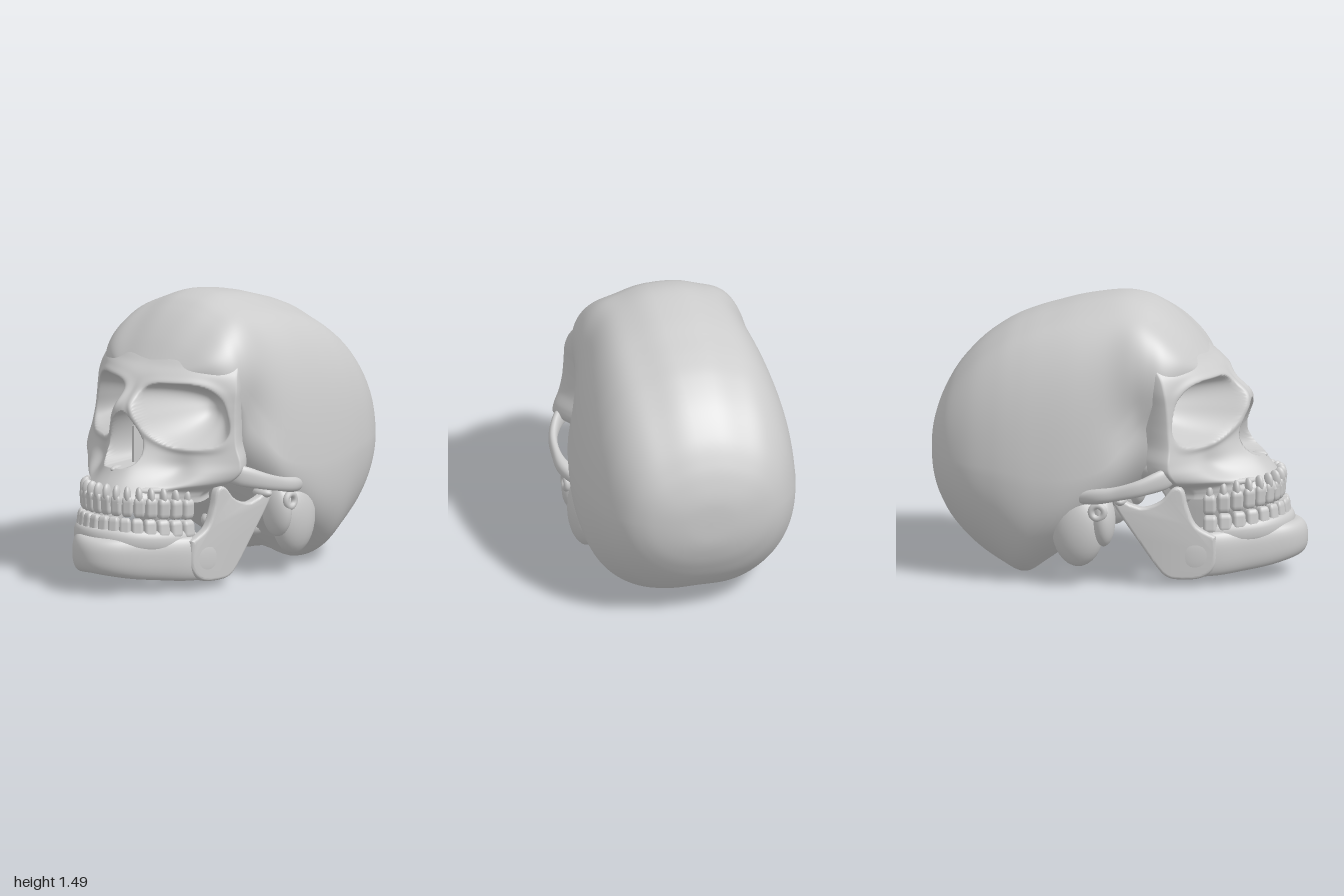
import * as THREE from 'three';
import { mergeVertices, toCreasedNormals } from 'three/addons/utils/BufferGeometryUtils.js';
import { RoundedBoxGeometry } from 'three/addons/geometries/RoundedBoxGeometry.js';

const bone = new THREE.MeshStandardMaterial({ color: 0xcccccc, side: THREE.DoubleSide });
const { smoothstep, clamp } = THREE.MathUtils;
const bump = (d, width) => Math.exp(-((d / width) ** 2));
const spow = (c, e) => Math.sign(c) * Math.abs(c) ** e;

// Smooth interpolation through rows of numbers, t from 0 to 1
function track(rows) {
  const n = rows.length - 1;
  return (t) => {
    const f = clamp(t, 0, 1) * n, i = Math.min(Math.floor(f), n - 1), k = f - i;
    const p = [-1, 0, 1, 2].map((o) => rows[clamp(i + o, 0, n)]);
    return rows[0].map((_, c) => {
      const [a, b, d, e] = p.map((r) => r[c]);
      return b + 0.5 * k * (d - a + k * (2 * a - 5 * b + 4 * d - e + k * (3 * (b - d) + e - a)));
    });
  };
}

// Surface from a rule (u, v) -> [x, y, z], welded and smooth
function surface(nu, nv, rule) {
  const pos = [], idx = [];
  for (let j = 0; j <= nv; j++) {
    for (let i = 0; i <= nu; i++) {
      pos.push(...rule(i / nu, j / nv));
      if (i === nu || j === nv) continue;
      const a = j * (nu + 1) + i, d = a + nu + 1;
      idx.push(a, a + 1, d + 1, a, d + 1, d);
    }
  }
  let geo = new THREE.BufferGeometry();
  geo.setAttribute('position', new THREE.Float32BufferAttribute(pos, 3));
  geo.setIndex(idx);
  geo = mergeVertices(geo, 1e-5);
  geo.computeVertexNormals();
  return geo;
}

// Flattened bar along rows of [x, y, z, halfThickness, halfHeight]
function sweep(rows, nu, nv, power = 0.9) {
  const at = track(rows), up = new THREE.Vector3(0, 1, 0);
  return surface(nu, nv, (u, v) => {
    const [x, y, z, ht, hh] = at(v);
    const T = new THREE.Vector3(...at(v + 0.005)).sub(new THREE.Vector3(...at(v - 0.005))).normalize();
    const N = up.clone().cross(T).normalize(), B = T.clone().cross(N);
    const cap = Math.sqrt(Math.max(0, 1 - Math.abs(2 * v - 1) ** 16)), a = (u % 1) * Math.PI * 2;
    return new THREE.Vector3(x, y, z)
      .addScaledVector(N, ht * cap * spow(Math.cos(a), power))
      .addScaledVector(B, hh * cap * spow(Math.sin(a), power)).toArray();
  });
}

// Braincase: cross-sections from back to front
function craniumGeometry() {
  // z, top, bottom, half width, height of widest point, squareness
  const at = track([
    [-1, 0.66, 0.66, 0, 0.66, 2.2], [-0.995, 0.77, 0.53, 0.14, 0.66, 2.3],
    [-0.97, 0.87, 0.43, 0.27, 0.66, 2.4], [-0.93, 0.97, 0.34, 0.365, 0.66, 2.5],
    [-0.86, 1.09, 0.23, 0.445, 0.65, 2.6], [-0.74, 1.22, 0.11, 0.515, 0.64, 2.7],
    [-0.6, 1.32, 0.02, 0.555, 0.63, 2.8], [-0.48, 1.375, -0.02, 0.573, 0.61, 2.9],
    [-0.36, 1.415, 0.06, 0.578, 0.59, 3], [-0.2, 1.46, 0.19, 0.572, 0.59, 3],
    [0, 1.49, 0.37, 0.54, 0.65, 3], [0.13, 1.473, 0.5, 0.515, 0.82, 3],
    [0.22, 1.43, 0.66, 0.49, 0.94, 2.9], [0.3, 1.37, 0.95, 0.45, 1.05, 2.7],
    [0.38, 1.29, 1.06, 0.372, 1.12, 2.5], [0.46, 1.19, 1.07, 0.255, 1.115, 2.4],
    [0.53, 1.1, 1.08, 0.1, 1.09, 2.2], [0.545, 1.085, 1.085, 0, 1.085, 2.2],
  ]);
  return surface(112, 120, (u, v) => {
    let [z, top, bottom, w, mid, n] = at(v);
    const a = (u % 1) * Math.PI * 2, up = Math.max(0, Math.sin(a)) ** (2 / n);
    const low = 2 / (Math.sin(a) < 0 ? 2.25 + 0.8 * bump(z + 0.25, 0.25) : n);
    let x = Math.max(0, w) * spow(Math.cos(a), low) * (1 - 0.16 * up * (top - mid));
    let y = Math.sin(a) >= 0 ? mid + (top - mid) * up : mid - (mid - bottom) * Math.abs(Math.sin(a)) ** low;
    // gently peaked crown, hollow temples, groove between the two lower lobes at the back
    y -= 0.025 * up ** 3 * bump(Math.abs(x) - 0.24, 0.11);
    x *= 1 - 0.13 * bump(z - 0.18, 0.14) * bump(y - 0.85, 0.22);
    y += 0.05 * bump(x, 0.13) * bump(z + 0.5, 0.2) * smoothstep(0.35 - y, 0, 0.25);
    // room for the backs of the eye sockets
    z -= 0.14 * bump(Math.abs(x) - 0.2, 0.15) * bump(y - 0.92, 0.13) * smoothstep(z, 0.1, 0.2);
    return [x, y, z];
  });
}

// Face: a curved shield with eye sockets and nasal opening sunk into it
function faceGeometry() {
  // y, centre z, half width, edge z, fall-off power, nose height
  const at = track([
    [0.485, 0.87, 0.332, 0.45, 2.9, 0], [0.51, 0.862, 0.335, 0.45, 2.8, 0],
    [0.535, 0.83, 0.37, 0.42, 2.4, 0.015], [0.565, 0.78, 0.47, 0.385, 1.9, 0.045],
    [0.62, 0.7, 0.525, 0.355, 1.6, 0.085], [0.68, 0.63, 0.525, 0.345, 1.5, 0.12],
    [0.76, 0.59, 0.497, 0.345, 1.55, 0.12], [0.85, 0.57, 0.482, 0.335, 1.6, 0.125],
    [0.92, 0.57, 0.477, 0.33, 1.6, 0.13], [0.98, 0.57, 0.475, 0.325, 1.6, 0.11],
    [1.05, 0.578, 0.473, 0.315, 1.75, 0.025], [1.12, 0.545, 0.458, 0.295, 2.2, 0],
    [1.17, 0.48, 0.437, 0.265, 2.6, 0], [1.22, 0.425, 0.405, 0.235, 2.8, 0],
    [1.3, 0.32, 0.34, 0.16, 2.5, 0],
  ]);
  return surface(180, 130, (u, v) => {
    const [y0, zc, w, ze, p, nose] = at(v), q = (2 * u - 1) * 1.2, m = Math.min(1, Math.abs(q));
    const y = y0 - 0.03 * m * m * smoothstep(0.57 - y0, 0, 0.1);
    const back = Math.max(0, Math.abs(q) - 1) / 0.2;
    const x = Math.sign(q) * w * (m - 0.13 * back ** 1.5), ax = Math.abs(x);
    let z = zc - (zc - ze) * m ** p - 0.13 * back;
    if (back > 0) return [x, y, z];
    // bridge of the nose, hollow of the cheek
    z += nose / (1 + (ax / (0.06 + 0.09 * smoothstep(1.08 - y, 0, 0.25))) ** 4);
    z -= 0.045 * bump(ax - 0.26, 0.07) * bump(y - 0.62, 0.07);
    // eye sockets with a raised rim, slanting down and outward
    const dx = Math.abs(ax - 0.268 + 0.34 * (y - 0.92)) / (0.182 + 0.1 * (y - 0.92));
    const r = Math.cbrt(dx ** 3 + (Math.abs(y - 0.92) / 0.168) ** 3);
    z += 0.016 * bump(r - 1.06, 0.12) * (1 - m ** 6);
    if (r < 1) z += (0.19 + 0.25 * Math.max(0, ax - 0.2) - z) * (1 - r ** 2.4);
    // pear-shaped nasal opening
    const t = (y - 0.65) / 0.29;
    if (t > 0 && t < 1) {
      const rn = ax / (0.197 * t ** 0.25 * (1 - t) ** 0.6);
      z += (0.44 - z) * smoothstep(1 - rn, 0, 0.3);
    }
    return [x, y, z];
  });
}

// Upright branch of the jaw: an outlined plate, splayed toward the back
function ramusGeometry(s) {
  const outline = [[0.57, 0.27], [0.47, 0.33], [0.425, 0.43], [0.4, 0.525], [0.35, 0.535], [0.285, 0.465],
    [0.2, 0.432], [0.13, 0.45], [0.07, 0.48], [0.045, 0.45], [0.09, 0.37], [0.17, 0.25], [0.25, 0.13],
    [0.31, 0.06], [0.38, 0.04], [0.5, 0.05], [0.57, 0.12]];
  const curve = new THREE.SplineCurve([...outline, outline[0]].map((p) => new THREE.Vector2(...p)));
  let geo = new THREE.ExtrudeGeometry(new THREE.Shape(curve.getPoints(90).slice(0, -1)), {
    depth: 0.02, bevelEnabled: true, bevelThickness: 0.016, bevelSize: 0.016, bevelOffset: -0.016, bevelSegments: 4,
  });
  geo.deleteAttribute('uv');
  geo.deleteAttribute('normal');
  geo = mergeVertices(geo, 1e-5);
  const pos = geo.attributes.position;
  for (let i = 0; i < pos.count; i++) {
    const z = pos.getX(i);
    pos.setXYZ(i, s * (0.477 - 0.2 * z + pos.getZ(i) - 0.01), pos.getY(i), z);
  }
  if (s > 0) geo.index.array.reverse();
  return toCreasedNormals(geo, 0.5);
}

export function createModel() {
  const model = new THREE.Group(), skull = new THREE.Group(), jaw = new THREE.Group();
  skull.name = 'skull';
  jaw.name = 'lowerJaw';
  model.add(skull, jaw);
  const add = (parent, name, geo) => {
    const mesh = new THREE.Mesh(geo, bone);
    mesh.name = name;
    parent.add(mesh);
    return mesh;
  };
  const ball = new THREE.SphereGeometry(1, 24, 16);
  const blob = (parent, name, at, size) => {
    const mesh = add(parent, name, ball);
    mesh.position.set(...at);
    mesh.scale.set(...size);
    return mesh;
  };
  const mirrorPath = (half) => [...half.slice(1).reverse().map(([x, ...rest]) => [-x, ...rest]), ...half];

  add(skull, 'cranium', craniumGeometry());
  add(skull, 'face', faceGeometry());
  add(skull, 'nasalSeptum', new THREE.BoxGeometry(0.014, 0.2, 0.16)).position.set(0, 0.75, 0.52);
  blob(skull, 'nasalSpine', [0, 0.64, 0.735], [0.022, 0.018, 0.045]);
  blob(skull, 'palate', [0, 0.54, 0.54], [0.29, 0.05, 0.28]);
  blob(skull, 'skullBase', [0, 0.6, 0.26], [0.3, 0.12, 0.27]);

  // Jaw body and the gum ridge that holds the lower teeth
  add(jaw, 'jawBody', sweep(mirrorPath([[0, 0.205, 0.932, 0.064, 0.095], [0.085, 0.2, 0.9, 0.058, 0.1],
    [0.172, 0.19, 0.81, 0.052, 0.11], [0.256, 0.18, 0.69, 0.048, 0.115], [0.338, 0.17, 0.56, 0.044, 0.118],
    [0.387, 0.165, 0.44, 0.032, 0.11], [0.412, 0.16, 0.33, 0.012, 0.07]]), 36, 90, 0.85));
  const ridge = [];
  for (let i = 0; i <= 8; i++) {
    const th = (Math.PI / 2) * (1 - i / 8);
    ridge.push([0.318 * Math.cos(th), 0.255 + 0.03 * Math.sin(th), 0.45 + 0.44 * Math.sin(th), 0.036, 0.06]);
  }
  add(jaw, 'gumRidge', sweep(mirrorPath(ridge), 20, 70));

  for (const s of [1, -1]) {
    const side = s > 0 ? 'left' : 'right';
    // Cheek arch running back to the ear
    add(skull, side + 'CheekArch', sweep([[0.43, 0.61, 0.36, 0.02, 0.04], [0.505, 0.6, 0.315, 0.026, 0.055],
      [0.565, 0.562, 0.2, 0.024, 0.044], [0.578, 0.53, 0.08, 0.024, 0.038], [0.56, 0.505, -0.04, 0.036, 0.04],
      [0.49, 0.48, -0.18, 0.03, 0.03]].map(([x, ...rest]) => [s * x, ...rest]), 24, 50));
    // Bones around and below the ear
    blob(skull, side + 'Mastoid', [s * 0.475, 0.31, -0.15], [0.095, 0.205, 0.14]);
    blob(skull, side + 'JawSocket', [s * 0.48, 0.36, -0.01], [0.09, 0.14, 0.06]);
    const ear = add(skull, side + 'EarCanal', new THREE.TorusGeometry(0.035, 0.018, 12, 28));
    ear.position.set(s * 0.555, 0.42, -0.03);
    ear.rotation.y = Math.PI / 2;
    blob(skull, side + 'NeckCondyle', [s * 0.13, 0.2, -0.24], [0.06, 0.06, 0.11]);
    blob(skull, side + 'PalateWing', [s * 0.17, 0.5, 0.36], [0.022, 0.1, 0.07]);
    add(jaw, side + 'Ramus', ramusGeometry(s));
    blob(jaw, side + 'JawCondyle', [s * 0.45, 0.465, 0.075], [0.06, 0.028, 0.035]);
  }

  // Teeth with root swellings, set along half-ellipse arches
  const toothShape = new RoundedBoxGeometry(1, 1, 1, 3, 0.28), count = 16;
  for (const upper of [true, false]) {
    const row = new THREE.Group(), a = upper ? 0.305 : 0.312, b = upper ? 0.4 : 0.425;
    row.name = upper ? 'upperTeeth' : 'lowerTeeth';
    (upper ? skull : jaw).add(row);
    for (let i = 0; i < count; i++) {
      const step = (Math.PI * 0.94) / count, th = Math.PI * 0.03 + (i + 0.5) * step;
      const front = Math.sin(th), bite = 0.365 + 0.05 * front, h = upper ? 0.11 : 0.1;
      const tooth = add(row, 'tooth', toothShape);
      tooth.position.set(a * Math.cos(th), bite + (upper ? h / 2 : -h / 2 - 0.004), 0.45 + b * front);
      tooth.rotation.order = 'YXZ';
      tooth.rotation.y = Math.atan2(Math.cos(th) / a, front / b);
      tooth.rotation.x = upper ? 0.06 : -0.12;
      tooth.scale.set(0.95 * step * Math.hypot(a * front, b * Math.cos(th)), h, 0.085 - 0.035 * front);
      const root = blob(row, 'root', tooth.position.toArray(), [0.02, 0.05, upper ? 0.032 : 0.03]);
      root.position.y += upper ? 0.06 : -0.05;
      root.rotation.y = tooth.rotation.y;
    }
  }
  return model;
}
